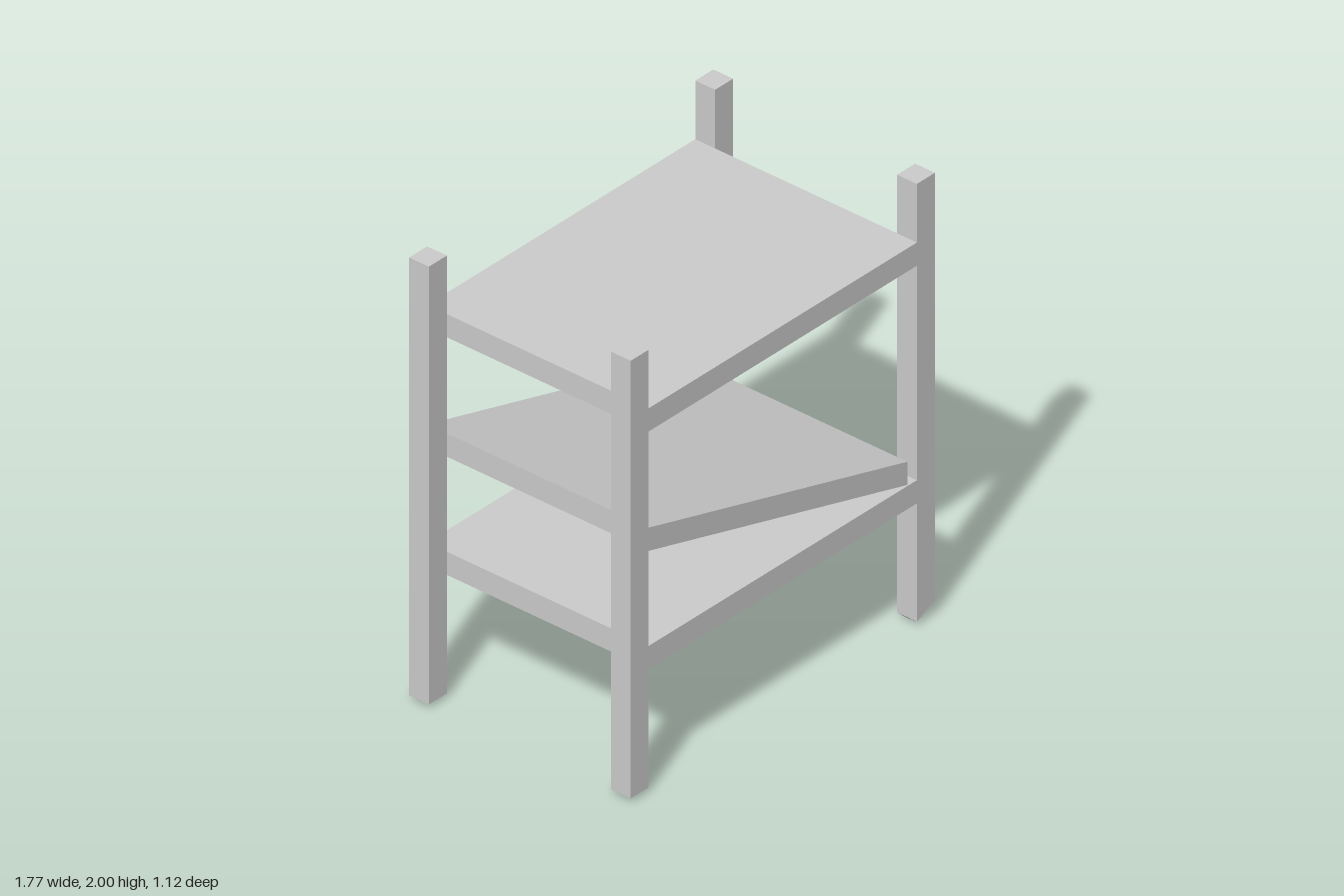
import * as THREE from 'three';
import { ConvexGeometry } from 'three/addons/geometries/ConvexGeometry.js';

export function createModel() {
  const model = new THREE.Group();
  model.name = 'shelfRack';
  const material = new THREE.MeshStandardMaterial({ color: 0xcccccc, flatShading: true });
  const IN_X = 0.78, OUT_X = 0.885, IN_Z = 0.46, OUT_Z = 0.56, TOP = 2, FOOT = 0.02;

  const add = (name, geometry) => {
    const mesh = new THREE.Mesh(geometry, material);
    mesh.name = name;
    model.add(mesh);
    return mesh;
  };
  const box = (name, x0, x1, y0, y1, z0, z1) =>
    add(name, new THREE.BoxGeometry(x1 - x0, y1 - y0, z1 - z0))
      .position.set((x0 + x1) / 2, (y0 + y1) / 2, (z0 + z1) / 2);
  const hull = (name, points) =>
    add(name, new ConvexGeometry(points.map((p) => new THREE.Vector3(...p))));

  // Three straight corner posts
  box('frontRightPost', -OUT_X, -IN_X, FOOT, TOP, IN_Z, OUT_Z);
  box('backRightPost', -OUT_X, -IN_X, FOOT, TOP, -OUT_Z, -IN_Z);
  box('backLeftPost', IN_X, OUT_X, FOOT, TOP, -OUT_Z, -IN_Z);

  // Front left post with a broken, slanted foot
  const corners = [];
  for (const z of [IN_Z, OUT_Z]) {
    corners.push([IN_X, TOP, z], [OUT_X, TOP, z], [IN_X, 0.02, z], [OUT_X, 0.07, z]);
  }
  hull('frontLeftPost', [...corners, [0.8, 0, 0.49]]);

  // Splinter on the inner face of the back left post
  hull('postSplinter', [
    [IN_X, 1.37, -0.53], [IN_X, 1.09, -0.53], [IN_X, 1.27, -0.56],
    [IN_X, 1.27, -0.48], [0.755, 1.27, -0.53],
  ]);

  // Two level shelves
  box('topShelf', -IN_X, IN_X, 1.63, 1.735, -OUT_Z, OUT_Z);
  box('bottomShelf', -IN_X, IN_X, 0.555, 0.66, -OUT_Z, OUT_Z);

  // Collapsed middle shelf, dropping towards the left with upright ends
  const profile = new THREE.Shape([
    [-IN_X, 1.09], [0.725, 0.665], [0.725, 0.77], [-IN_X, 1.195],
  ].map((p) => new THREE.Vector2(...p)));
  add('fallenShelf', new THREE.ExtrudeGeometry(profile, { depth: 2 * OUT_Z, bevelEnabled: false }))
    .position.z = -OUT_Z;

  return model;
}
